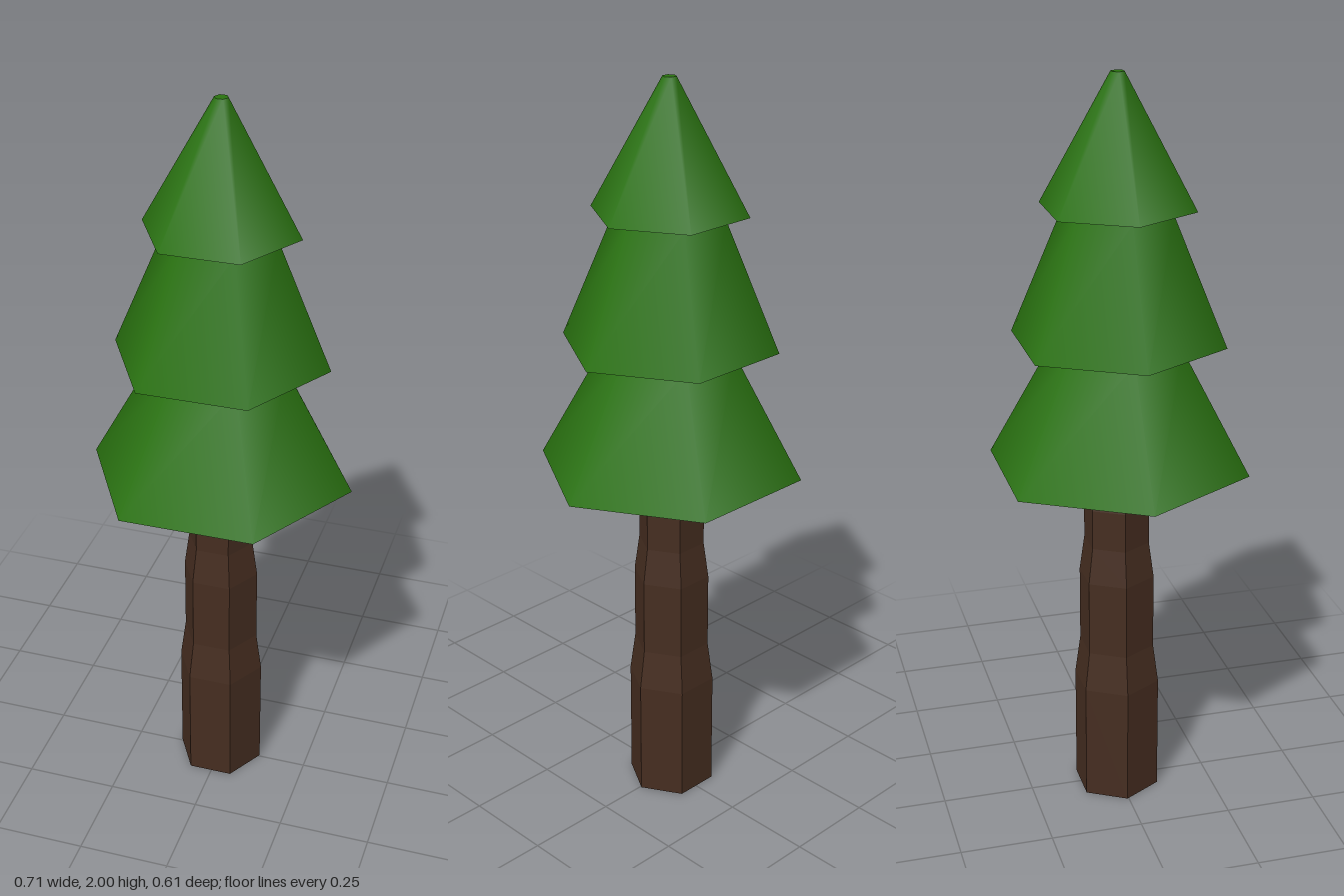
import * as THREE from 'three';

const SIDES = 6;

// Hexagonal frustum standing on y0, with corners on the x axis
function frustum(rTop, rBottom, y0, y1, openEnded = false) {
  const g = new THREE.CylinderGeometry(rTop, rBottom, y1 - y0, SIDES, 1, openEnded);
  return g.rotateY(Math.PI / 6).translate(0, (y0 + y1) / 2, 0);
}

export function createModel() {
  const tree = new THREE.Group();
  tree.name = 'tree';

  const bark = new THREE.MeshStandardMaterial({ color: 0x452d20, flatShading: true });
  const needles = new THREE.MeshStandardMaterial({ color: 0x29720f });

  // Trunk: stepped hexagonal profile, closed at both ends
  const profile = [
    [0, 0], [0.119, 0], [0.119, 0.33], [0.104, 0.44], [0.104, 0.65],
    [0.09, 0.75], [0.09, 0.86], [0.072, 0.96], [0, 0.96],
  ].map(([r, y]) => new THREE.Vector2(r, y));
  const trunk = new THREE.Mesh(
    new THREE.LatheGeometry(profile, SIDES).rotateY(Math.PI / 6), bark);
  trunk.position.set(-0.003, 0, -0.004);
  trunk.name = 'trunk';
  tree.add(trunk);

  // Foliage: three separate tiers, [top radius, bottom radius, bottom y, top y]
  const tiers = [
    ['lowerFoliage', 0.17, 0.355, 0.97, 1.305],
    ['middleFoliage', 0.144, 0.288, 1.315, 1.655],
    ['upperFoliage', 0.018, 0.206, 1.663, 2],
  ];
  for (const [name, ...size] of tiers) {
    const tier = new THREE.Mesh(frustum(...size), needles);
    tier.name = name;
    tree.add(tier);
  }

  return tree;
}
